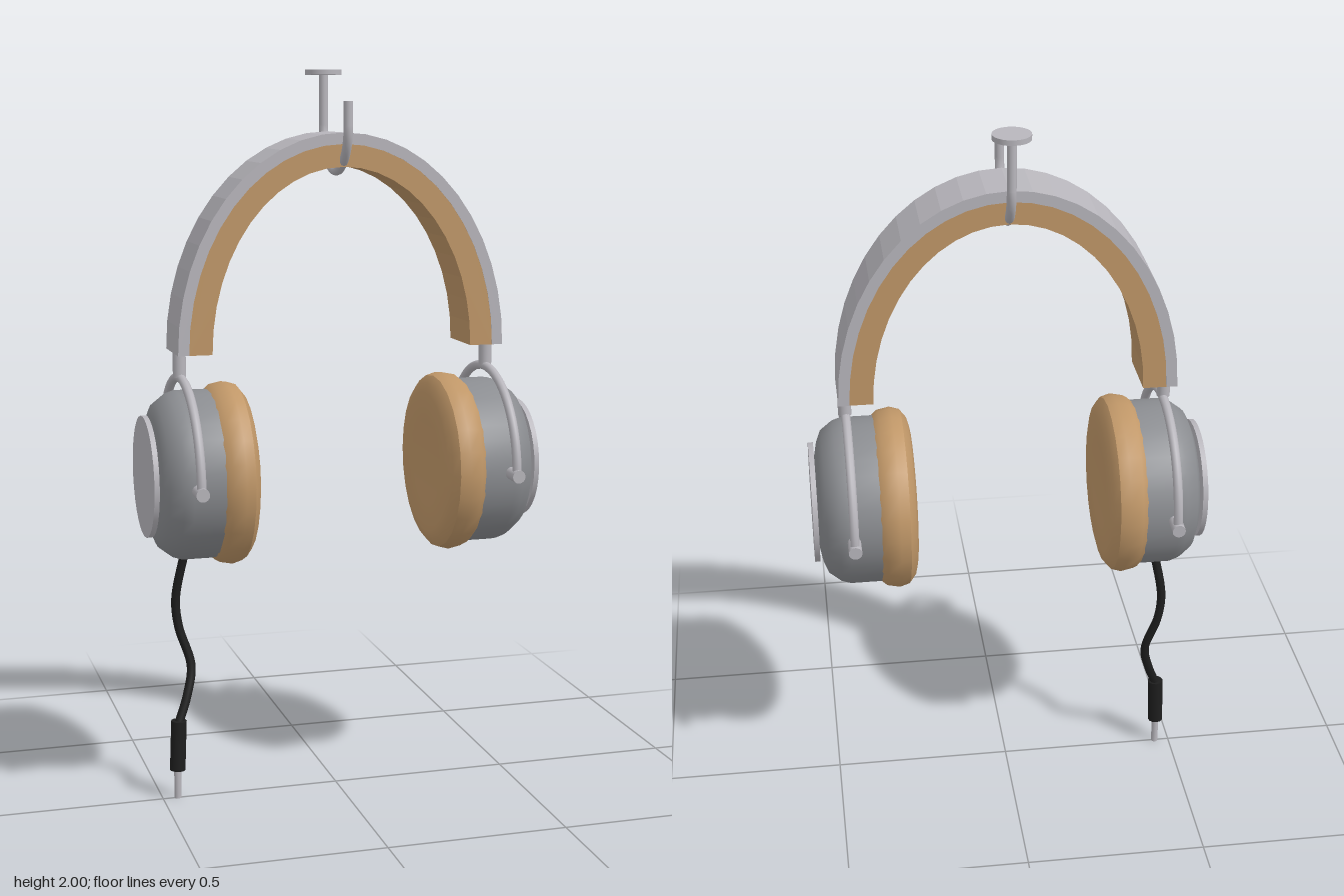
import * as THREE from 'three';
import { toCreasedNormals } from 'three/addons/utils/BufferGeometryUtils.js';

const material = (name, color) => {
  const m = new THREE.MeshStandardMaterial({ color });
  m.name = name;
  return m;
};

export function createModel() {
  const metal = material('light metal', 0xb8b6bc);
  const shell = material('grey shell', 0x8b8d91);
  const leather = material('tan leather', 0xc09768);
  const rubber = material('black rubber', 0x1e1e1e);

  const model = new THREE.Group();
  model.name = 'headphones';

  const add = (parent, name, geometry, mat, x = 0, y = 0, z = 0) => {
    const mesh = new THREE.Mesh(geometry, mat);
    mesh.name = name;
    mesh.position.set(x, y, z);
    parent.add(mesh);
    return mesh;
  };
  const rod = (r, h, n = 16) => new THREE.CylinderGeometry(r, r, h, n);
  const vec = (p) => new THREE.Vector3(...p);

  // Half-ellipse arch extruded across the head
  const arch = (rx, ry, ix, iy, depth) => {
    const s = new THREE.Shape();
    const n = 24;
    for (let i = 0; i <= n; i++) {
      const a = (Math.PI * i) / n;
      s[i ? 'lineTo' : 'moveTo'](rx * Math.cos(a), ry * Math.sin(a));
    }
    for (let i = n; i >= 0; i--) {
      const a = (Math.PI * i) / n;
      s.lineTo(ix * Math.cos(a), iy * Math.sin(a));
    }
    s.closePath();
    return new THREE.ExtrudeGeometry(s, { depth, bevelEnabled: false }).translate(0, 0, -depth / 2);
  };
  add(model, 'headband', arch(0.455, 0.58, 0.425, 0.55, 0.166), metal, 0, 1.255);
  add(model, 'headbandPad', arch(0.425, 0.55, 0.362, 0.49, 0.164), leather, 0, 1.255);

  // Profile of [radius, distance] pairs, turned around the x axis
  const turned = (profile, segments) => toCreasedNormals(
    new THREE.LatheGeometry(profile.map(([r, d]) => new THREE.Vector2(r, d)), segments).rotateZ(-Math.PI / 2),
    0.6,
  );
  const cushion = turned([
    [0, 0.266], [0.12, 0.264], [0.195, 0.26], [0.222, 0.267], [0.242, 0.283],
    [0.25, 0.31], [0.243, 0.345], [0.228, 0.362], [0, 0.362],
  ], 24);
  const cup = turned([
    [0, 0.358], [0.23, 0.358], [0.23, 0.445], [0.222, 0.47], [0.197, 0.503],
    [0.165, 0.516], [0.12, 0.525], [0, 0.526],
  ], 32);

  // Ear pieces: the group is turned half way round for the other side
  for (const [side, turn] of [['left', 0], ['right', Math.PI]]) {
    const ear = new THREE.Group();
    ear.name = side + 'EarPiece';
    ear.rotation.y = turn;
    model.add(ear);

    add(ear, 'earCushion', cushion, leather, 0, 0.92);
    add(ear, 'earCup', cup, shell, 0, 0.92);
    add(ear, 'cupCap', rod(0.165, 0.014, 32).rotateZ(Math.PI / 2), metal, 0.532, 0.92);

    // Yoke fork with its stem and pivots
    const fork = new THREE.TorusGeometry(0.265, 0.0125, 10, 32, Math.PI).rotateY(Math.PI / 2);
    add(ear, 'yoke', fork, metal, 0.434, 0.92);
    add(ear, 'yokeStem', rod(0.018, 0.075), metal, 0.436, 1.225);
    for (const s of [-1, 1]) {
      add(ear, 'yokePivot', rod(0.018, 0.06).rotateX(Math.PI / 2), metal, 0.434, 0.92, s * 0.253);
    }
  }

  // Hanging hook: ceiling disc, straight drop, half-circle bend and upturned tip
  const hook = new THREE.Group();
  hook.name = 'hangingHook';
  model.add(hook);
  add(hook, 'hookDisc', rod(0.05, 0.014, 32), metal, 0, 1.993, -0.122);
  add(hook, 'hookDrop', rod(0.0125, 0.14), metal, 0, 1.92, -0.122);
  const bend = new THREE.TorusGeometry(0.122, 0.0125, 10, 24, Math.PI).rotateZ(Math.PI).rotateY(Math.PI / 2);
  add(hook, 'hookBend', bend, metal, 0, 1.853, 0);
  add(hook, 'hookTip', rod(0.0125, 0.065), metal, 0, 1.884, 0.122);

  // Cable with plug, hanging from the right cup
  const path = new THREE.CatmullRomCurve3([
    [-0.42, 0.72, -0.015], [-0.428, 0.68, -0.026], [-0.448, 0.56, -0.043], [-0.44, 0.48, -0.045],
    [-0.409, 0.37, -0.033], [-0.425, 0.29, -0.015], [-0.453, 0.215, 0],
  ].map(vec));
  add(model, 'cable', new THREE.TubeGeometry(path, 40, 0.0125, 8), rubber);
  add(model, 'plugGrip', rod(0.022, 0.142, 12), rubber, -0.455, 0.153).rotation.z = -0.04;
  add(model, 'plugPin', rod(0.01, 0.09, 12), metal, -0.458, 0.045);

  return model;
}
